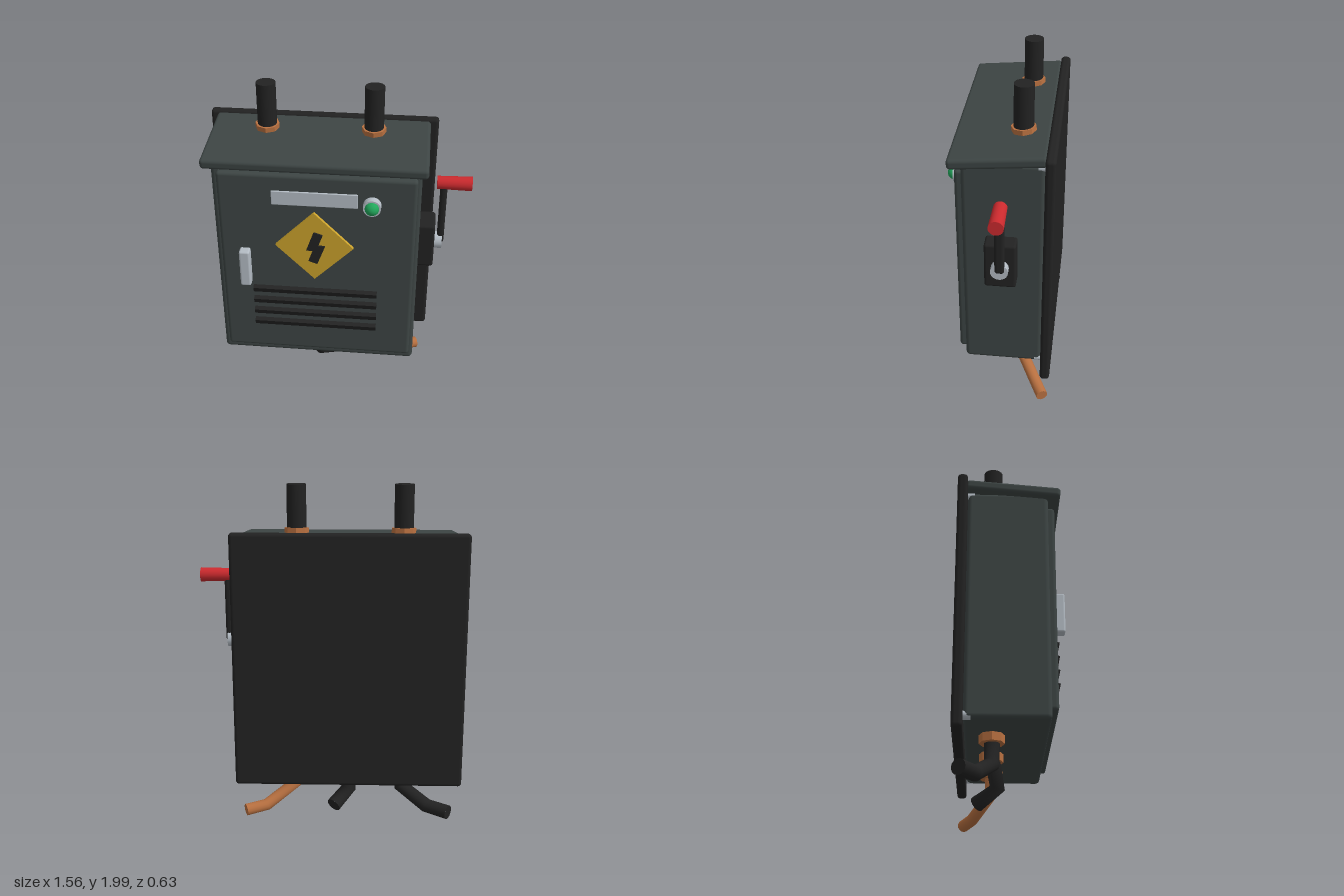
import * as THREE from 'three';
import { RoundedBoxGeometry } from 'three/addons/geometries/RoundedBoxGeometry.js';

const mat = (name, color) => {
  const m = new THREE.MeshStandardMaterial({ color });
  m.name = name;
  return m;
};

// Straight runs joined by mitred bends
class Polyline extends THREE.Curve {
  constructor(points) { super(); this.points = points; }
  getPoint(t, target = new THREE.Vector3()) {
    const f = t * (this.points.length - 1);
    const i = Math.min(Math.floor(f), this.points.length - 2);
    return target.lerpVectors(this.points[i], this.points[i + 1], f - i);
  }
  getPointAt(u, target) { return this.getPoint(u, target); }
  getTangentAt(u, target) { return this.getTangent(u, target); }
}

export function createModel() {
  const model = new THREE.Group();
  model.name = 'electricalCabinet';

  const steel = mat('cabinet grey', 0x3d4544);
  const black = mat('black', 0x222222);
  const silver = mat('silver', 0xb4bcc4);
  const copper = mat('copper', 0xb87040);
  const red = mat('red', 0xcc2a2e);
  const green = mat('green', 0x22a85c);
  const yellow = mat('yellow', 0xcba22c);

  const add = (name, geometry, material, x = 0, y = 0, z = 0) => {
    const mesh = new THREE.Mesh(geometry, material);
    mesh.name = name;
    mesh.position.set(x, y, z);
    model.add(mesh);
    return mesh;
  };
  // Rounded box given by its limits on each axis
  const block = (name, material, [x0, x1], [y0, y1], [z0, z1], r) =>
    add(name, new RoundedBoxGeometry(x1 - x0, y1 - y0, z1 - z0, 3, r), material,
      (x0 + x1) / 2, (y0 + y1) / 2, (z0 + z1) / 2);

  // Body
  block('backPlate', black, [-0.78, 0.57], [0.235, 1.745], [-0.312, -0.255], 0.02);
  block('cabinet', steel, [-0.695, 0.49], [0.31, 1.67], [-0.255, 0.2], 0.025);
  block('door', steel, [-0.66, 0.468], [0.37, 1.603], [0.17, 0.238], 0.02);
  const roof = block('roof', steel, [-0.738, 0.523], [1.653, 1.713], [-0.265, 0.27], 0.02);
  roof.rotation.x = 0.087;

  // Mounting bolts in the corners
  for (const x of [-0.67, 0.468]) for (const y of [0.332, 1.655]) {
    add('mountingBolt', new THREE.CylinderGeometry(0.024, 0.024, 0.04, 12), silver, x, y, -0.235)
      .rotation.x = Math.PI / 2;
  }

  // Door fittings
  block('labelPlate', silver, [-0.35, 0.14], [1.417, 1.505], [0.23, 0.247], 0.004);
  block('doorHandle', silver, [-0.548, -0.485], [0.87, 1.11], [0.23, 0.293], 0.012);
  for (let i = 0; i < 4; i++) {
    add('ventSlat', new THREE.BoxGeometry(0.74, 0.036, 0.03), black, -0.11, 0.824 - i * 0.082, 0.244)
      .rotation.x = 0.35;
  }

  // Indicator lamp
  add('lampBezel', new THREE.CylinderGeometry(0.05, 0.052, 0.05, 24), silver, 0.22, 1.442, 0.255)
    .rotation.x = Math.PI / 2;
  add('lamp', new THREE.SphereGeometry(0.041, 24, 16), green, 0.22, 1.442, 0.274);

  // Warning diamond
  add('warningSign', new THREE.BoxGeometry(0.32, 0.32, 0.026), yellow, -0.108, 1.153, 0.245)
    .rotation.z = Math.PI / 4;
  const bolt = new THREE.Shape([
    [-0.002, 0.102], [0.05, 0.085], [0.024, 0.012], [0.064, 0.012],
    [0.018, -0.112], [-0.034, -0.094], [-0.008, -0.022], [-0.046, -0.022],
  ].map(([x, y]) => new THREE.Vector2(x, y)));
  add('warningBolt', new THREE.ExtrudeGeometry(bolt, { depth: 0.009, bevelEnabled: false }), black,
    -0.108, 1.153, 0.258);

  // Side switch with lever
  block('switchBox', black, [0.47, 0.582], [0.93, 1.213], [-0.11, 0.068], 0.015);
  add('leverPivot', new THREE.CylinderGeometry(0.05, 0.05, 0.05, 20), silver, 0.602, 1.068, -0.022)
    .rotation.z = Math.PI / 2;
  block('lever', black, [0.597, 0.638], [1.06, 1.48], [-0.052, 0.004], 0.018);
  add('leverGrip', new THREE.CylinderGeometry(0.042, 0.038, 0.2, 20), red, 0.677, 1.46, -0.026)
    .rotation.z = -Math.PI / 2;

  // Faceted cable glands
  const gland = (x, y, z, h) => {
    const g = new THREE.CylinderGeometry(0.07, 0.07, h, 8).toNonIndexed();
    g.computeVertexNormals();
    return add('cableGland', g, copper, x, y, z);
  };

  // Conduits through the roof
  for (const x of [-0.415, 0.2]) {
    gland(x, 1.735, -0.11, 0.035).rotation.x = 0.087;
    add('conduit', new THREE.CylinderGeometry(0.056, 0.056, 0.32, 24), black, x, 1.84, -0.11);
  }

  // Bent cables below
  const cable = (material, r, coords) => {
    const p = coords.map((c) => new THREE.Vector3(...c));
    gland(p[0].x, 0.288, p[0].z, 0.05);
    add('cable', new THREE.TubeGeometry(new Polyline(p), p.length - 1, r, 14), material);
    const end = p[p.length - 1];
    const cap = add('cableEnd', new THREE.CircleGeometry(r, 14), material, end.x, end.y, end.z);
    cap.lookAt(end.clone().multiplyScalar(2).sub(p[p.length - 2]));
  };
  cable(black, 0.043, [[-0.43, 0.31, -0.105], [-0.43, 0.15, -0.105], [-0.585, 0.055, -0.19], [-0.71, 0.05, -0.27]]);
  cable(black, 0.045, [[-0.107, 0.31, -0.105], [-0.107, 0.115, -0.07], [-0.015, 0.048, -0.185]]);
  cable(copper, 0.036, [[0.22, 0.31, -0.105], [0.22, 0.165, -0.105], [0.395, 0.06, -0.215], [0.515, 0.05, -0.27]]);

  return model;
}
